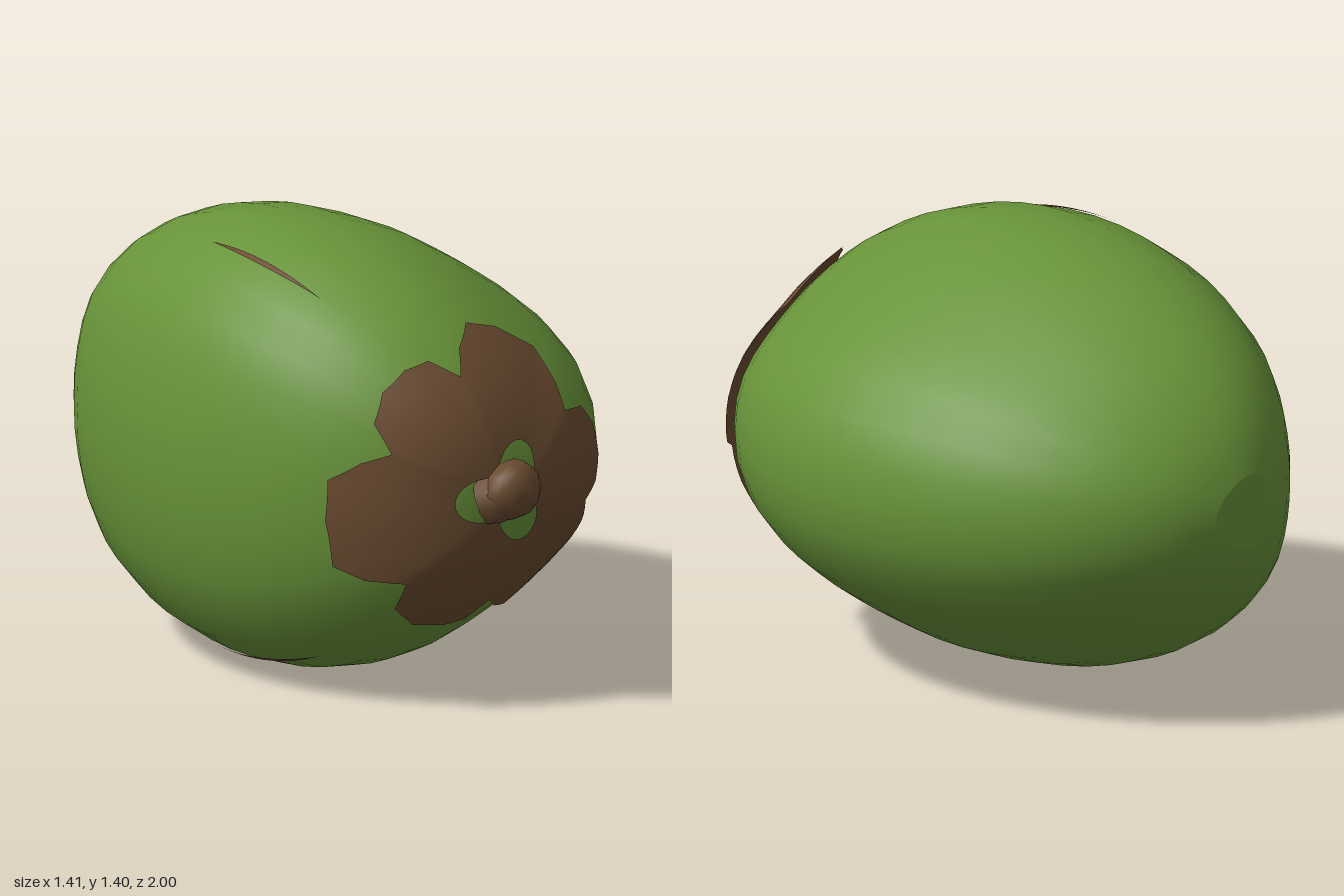
import * as THREE from 'three';
import { mergeVertices } from 'three/addons/utils/BufferGeometryUtils.js';

const CX = -0.045, CY = 0.702, FRONT = 0.9, BACK = 1.015;
const RAD = Math.PI / 180;

// Half of the rounded three-sided cross-section: radius every 10 degrees from +x
const SECTION = [0.75, 0.746, 0.726, 0.692, 0.659, 0.638, 0.632, 0.642, 0.658, 0.686,
  0.712, 0.732, 0.745, 0.747, 0.736, 0.71, 0.685, 0.671, 0.665];

// Outer edge of the six joined sepals, counter-clockwise in x, y
const CALYX = [
  [0.42, 0.72], [0.40, 0.82], [0.35, 0.885], [0.25, 0.90],
  [0.26, 0.97], [0.24, 1.07], [0.10, 1.155], [-0.02, 1.19], [-0.10, 1.14], [-0.14, 1.07],
  [-0.22, 1.12], [-0.30, 1.10], [-0.38, 1.04], [-0.42, 0.95], [-0.39, 0.86],
  [-0.46, 0.83], [-0.53, 0.77], [-0.535, 0.64], [-0.51, 0.49], [-0.44, 0.45], [-0.34, 0.44],
  [-0.345, 0.35], [-0.27, 0.285], [-0.16, 0.27], [-0.09, 0.28], [-0.03, 0.34],
  [0.03, 0.30], [0.12, 0.275], [0.25, 0.34], [0.36, 0.42], [0.365, 0.51], [0.33, 0.60],
  [0.40, 0.64]];

function sectionRadius(deg) {
  let d = ((deg % 360) + 360) % 360;
  if (d > 180) d = 360 - d;
  const i = Math.min(17, Math.floor(d / 10));
  return THREE.MathUtils.lerp(SECTION[i], SECTION[i + 1], d / 10 - i);
}

// Husk size factor at a given z
const taper = (z) => Math.sqrt(Math.max(0, 1 - (z / (z > 0 ? FRONT : BACK)) ** 2));

function huskPoint(deg, z, lift = 0) {
  const r = sectionRadius(deg) * taper(z) + lift;
  return [CX + r * Math.cos(deg * RAD), CY + r * Math.sin(deg * RAD), z];
}

// Grid surface from a rule point(i, j)
function grid(nu, nv, point) {
  const pos = [], index = [];
  for (let i = 0; i <= nu; i++) for (let j = 0; j <= nv; j++) pos.push(...point(i, j));
  for (let i = 0; i < nu; i++) for (let j = 0; j < nv; j++) {
    const a = i * (nv + 1) + j, b = a + nv + 1;
    index.push(a, a + 1, b, b, a + 1, b + 1);
  }
  let g = new THREE.BufferGeometry();
  g.setAttribute('position', new THREE.Float32BufferAttribute(pos, 3));
  g.setIndex(index);
  g = mergeVertices(g, 1e-5);
  g.computeVertexNormals();
  return g;
}

export function createModel() {
  const model = new THREE.Group();
  const green = new THREE.MeshStandardMaterial({ name: 'husk green', color: 0x689339 });
  const brown = new THREE.MeshStandardMaterial({ name: 'dry brown', color: 0x6b4c31, side: THREE.DoubleSide });
  const add = (name, geometry, material) => {
    const mesh = new THREE.Mesh(geometry, material);
    mesh.name = name;
    model.add(mesh);
    return mesh;
  };

  // Husk: blunt at the front, longer at the back
  const rings = 28, end = Math.acos(-1 / BACK);
  const ringZ = (j) => {
    const c = Math.cos(end * j / rings);
    return c > 0 ? c * FRONT : c * BACK;
  };
  add('husk', grid(36, rings, (i, j) => huskPoint((i % 36) * 10, ringZ(j))), green);

  // Small flat tip at the back
  add('huskTip', grid(36, 1, (i, j) => j ? [CX, CY, -1] : huskPoint((i % 36) * 10, -1)), green);

  // Calyx: six sepals lying on the front of the husk, with a three-lobed opening
  const sub = 3, n = CALYX.length * sub, rows = 8;
  add('calyx', grid(n, rows, (i, j) => {
    const k = Math.floor((i % n) / sub), f = (i % sub) / sub;
    const p = CALYX[k], q = CALYX[(k + 1) % CALYX.length];
    const dx = THREE.MathUtils.lerp(p[0], q[0], f) - CX;
    const dy = THREE.MathUtils.lerp(p[1], q[1], f) - CY;
    const a = Math.atan2(dy, dx);
    const inner = 0.13 + 0.045 * Math.cos(3 * (a - 63 * RAD));
    const t = 1 - j / rows;
    const r = THREE.MathUtils.lerp(inner, Math.hypot(dx, dy), t);
    const ratio = r / sectionRadius(a / RAD);
    const z = FRONT * Math.sqrt(1 - ratio * ratio) + 0.018 + 0.017 * t;
    return [CX + r * Math.cos(a), CY + r * Math.sin(a), z];
  }), brown);

  // Stem: short leaning neck with a rounded knob
  const from = new THREE.Vector3(-0.09, 0.69, 0.86), to = new THREE.Vector3(-0.035, 0.72, 0.93);
  const neck = add('stemNeck', new THREE.CylinderGeometry(0.08, 0.09, from.distanceTo(to), 10), brown);
  neck.position.lerpVectors(from, to, 0.5);
  neck.quaternion.setFromUnitVectors(new THREE.Vector3(0, 1, 0), to.clone().sub(from).normalize());
  const knob = add('stemKnob', new THREE.SphereGeometry(1, 10, 7), brown);
  knob.scale.set(0.105, 0.08, 0.095);
  knob.rotation.set(Math.PI / 2, 0, -0.3);
  knob.position.set(-0.032, 0.722, 0.922);

  // Thin scars along the upper and lower ridges
  for (const side of [1, -1]) {
    add(side > 0 ? 'upperScar' : 'lowerScar', grid(16, 2, (i, j) => {
      const t = i / 16, half = 0.75 * Math.sin(Math.PI * t);
      return huskPoint(side * (121.5 + (j - 1) * half), -0.1 + 0.52 * t, 0.006);
    }), brown);
  }
  return model;
}
